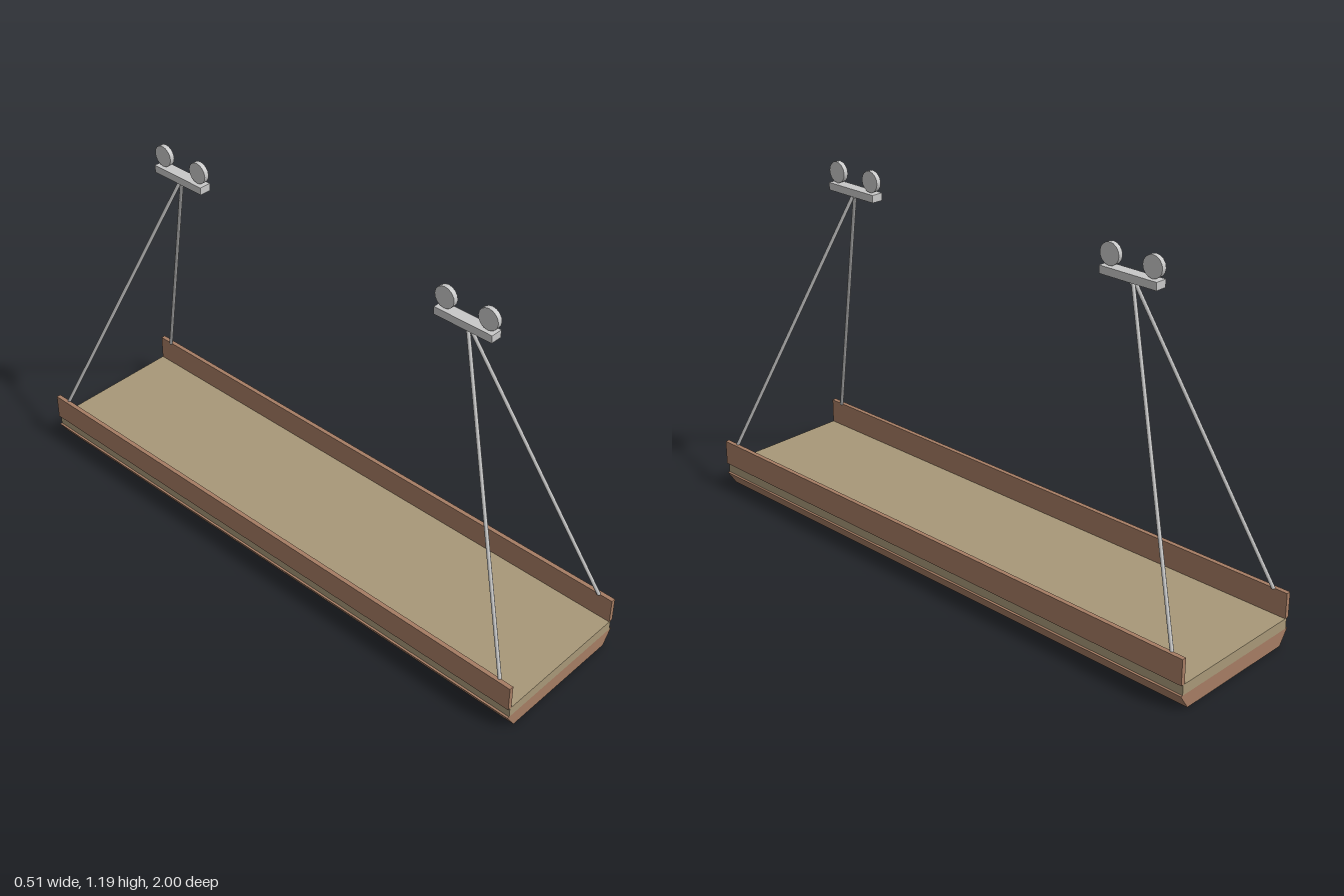
import * as THREE from 'three';

const paint = (name, color) => {
  const m = new THREE.MeshStandardMaterial({ color });
  m.name = name;
  return m;
};

export function createModel() {
  const tan = paint('tan deck', 0xa89878);
  const brown = paint('brown wood', 0xa67d64);
  const grey = paint('light grey metal', 0xc8c8c8);
  const model = new THREE.Group();
  model.name = 'hangingPlatform';

  const add = (parent, name, geometry, material, x = 0, y = 0, z = 0) => {
    const mesh = new THREE.Mesh(geometry, material);
    mesh.name = name;
    mesh.position.set(x, y, z);
    parent.add(mesh);
    return mesh;
  };

  // Straight rod between two points
  const addRod = (parent, name, a, b, radius) => {
    const dir = b.clone().sub(a);
    const rod = add(parent, name, new THREE.CylinderGeometry(radius, radius, dir.length(), 8), grey);
    rod.position.copy(a).add(b).multiplyScalar(0.5);
    rod.quaternion.setFromUnitVectors(new THREE.Vector3(0, 1, 0), dir.normalize());
  };

  // Base with bevelled long edges
  const section = new THREE.Shape([[-0.22, 0], [0.22, 0], [0.253, 0.05], [-0.253, 0.05]]
    .map(([x, y]) => new THREE.Vector2(x, y)));
  add(model, 'base', new THREE.ExtrudeGeometry(section, { depth: 2, bevelEnabled: false }), brown, 0, 0, -1);

  // Deck
  add(model, 'deck', new THREE.BoxGeometry(0.49, 0.035, 2), tan, 0, 0.0675, 0);

  // Side boards
  for (const [side, s] of [['left', 1], ['right', -1]]) {
    add(model, side + 'SideBoard', new THREE.BoxGeometry(0.015, 0.085, 2), brown, s * 0.246, 0.1275, 0);
  }

  // Trolley with two wheels and two hanging rods at each end
  for (const [end, e] of [['front', 1], ['back', -1]]) {
    const trolley = new THREE.Group();
    trolley.name = end + 'Trolley';
    model.add(trolley);
    add(trolley, 'beam', new THREE.BoxGeometry(0.04, 0.025, 0.206), grey, 0, 1.1065, e * 0.57);
    add(trolley, 'hanger', new THREE.CylinderGeometry(0.008, 0.008, 0.012, 8), grey, 0, 1.09, e * 0.573);
    for (const dz of [-0.077, 0.077]) {
      const wheel = new THREE.CylinderGeometry(0.035, 0.035, 0.016, 16).rotateZ(Math.PI / 2);
      add(trolley, 'wheel', wheel, grey, 0, 1.155, e * 0.57 + dz);
    }
    for (const [side, s] of [['left', 1], ['right', -1]]) {
      addRod(model, end + side + 'Rod', new THREE.Vector3(s * 0.239, 0.168, e * 0.951),
        new THREE.Vector3(s * 0.003, 1.095, e * 0.576), 0.006);
    }
  }
  return model;
}
